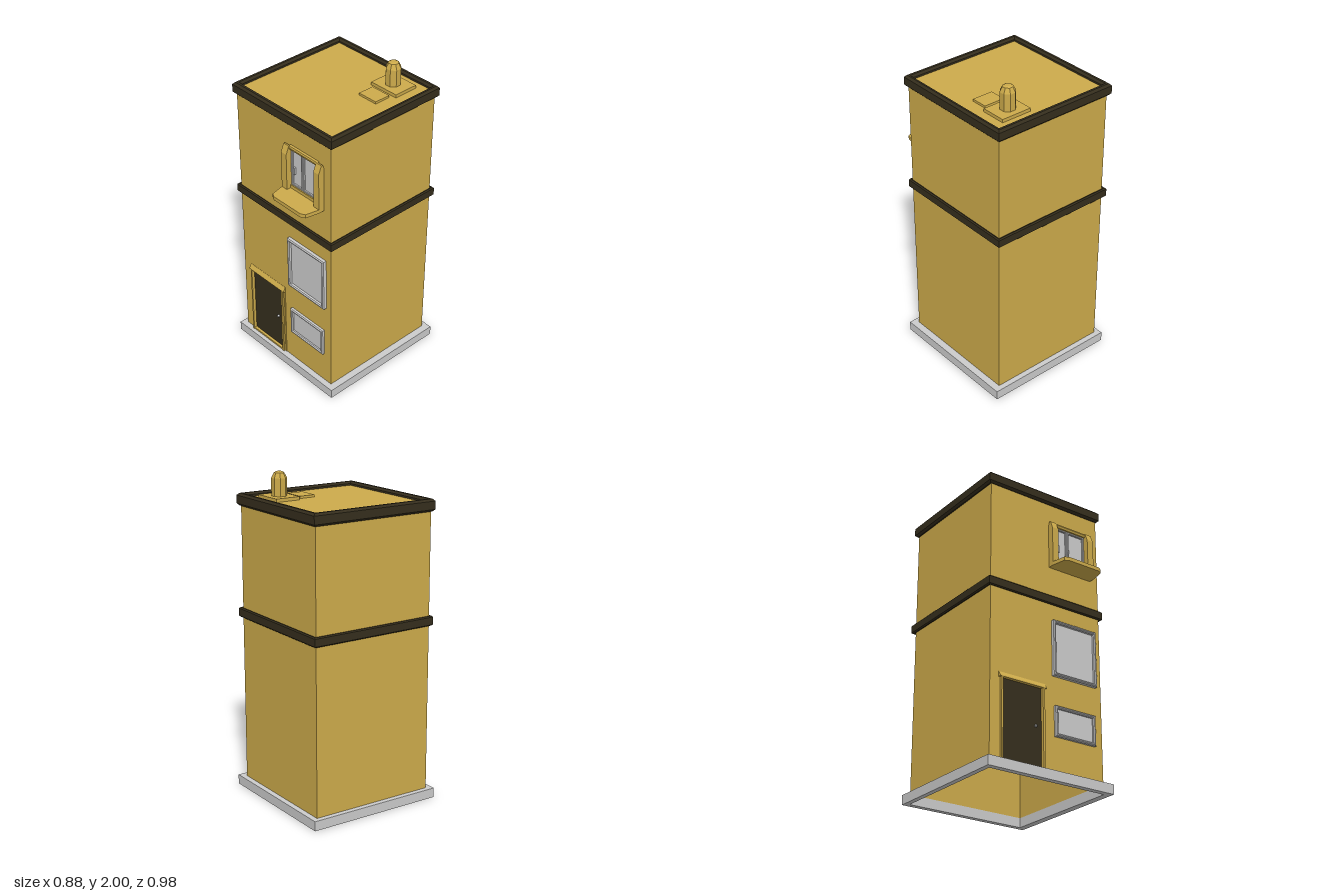
import * as THREE from 'three';

const tan = new THREE.MeshStandardMaterial({ color: 0xcdab4b, flatShading: true });
const wallTan = new THREE.MeshStandardMaterial({ color: 0xcdab4b, side: THREE.DoubleSide });
const dark = new THREE.MeshStandardMaterial({ color: 0x352e1d, flatShading: true });
const grey = new THREE.MeshStandardMaterial({ color: 0xcccccc, flatShading: true });

// Outer faces of the walls
const X0 = -0.405, X1 = 0.392, Z0 = -0.455, Z1 = 0.35, Y0 = 0.06, Y1 = 1.8;

function rect(path, x0, x1, y0, y1) {
  path.moveTo(x0, y0);
  path.lineTo(x1, y0);
  path.lineTo(x1, y1);
  path.lineTo(x0, y1);
  path.closePath();
  return path;
}

const polygon = (pts) => new THREE.Shape(pts.map(([x, y]) => new THREE.Vector2(x, y)));

function extrude(shape, depth, bevel = 0) {
  const geo = new THREE.ExtrudeGeometry(shape, {
    depth: depth - 2 * bevel, bevelEnabled: bevel > 0, bevelSegments: 1,
    bevelSize: bevel, bevelThickness: bevel, bevelOffset: -bevel,
  });
  return geo.translate(0, 0, bevel);
}

function add(parent, name, geo, mat) {
  const mesh = new THREE.Mesh(geo, mat);
  mesh.name = name;
  parent.add(mesh);
  return mesh;
}

function box(parent, name, mat, x0, x1, y0, y1, z0, z1) {
  const geo = new THREE.BoxGeometry(x1 - x0, y1 - y0, z1 - z0);
  geo.translate((x0 + x1) / 2, (y0 + y1) / 2, (z0 + z1) / 2);
  return add(parent, name, geo, mat);
}

// Horizontal plate from an (x, z) outline
const plate = (shape, y0, y1, bevel) =>
  extrude(shape, y1 - y0, bevel).rotateX(Math.PI / 2).translate(0, y1, 0);

// Sideways bar from a (z, y) profile
const bar = (pts, x0, x1) =>
  extrude(polygon(pts), x1 - x0).rotateY(-Math.PI / 2).translate(x1, 0, 0);

// Rectangular ring running round the house
function ring(parent, name, mat, out, inn, y0, y1, bevel) {
  const shape = rect(new THREE.Shape(), ...out);
  shape.holes.push(rect(new THREE.Path(), ...inn));
  add(parent, name, plate(shape, y0, y1, bevel), mat);
}

// Picture-frame border on the front wall
function frame(parent, name, mat, [x0, x1, y0, y1], w, z0, z1, bevel) {
  const shape = rect(new THREE.Shape(), x0, x1, y0, y1);
  shape.holes.push(rect(new THREE.Path(), x0 + w, x1 - w, y0 + w, y1 - w));
  add(parent, name, extrude(shape, z1 - z0, bevel).translate(0, 0, z0), mat);
}

function knob(parent, name, x, y, z) {
  add(parent, name, new THREE.SphereGeometry(0.009, 10, 6).translate(x, y, z), grey);
}

export function createModel() {
  const house = new THREE.Group();
  house.name = 'house';

  // Foundation ring and trim bands
  const body = [X0, X1, Z0, Z1];
  ring(house, 'foundation', grey, [-0.4375, 0.4375, -0.49, 0.388], body, 0, Y0, 0);
  ring(house, 'middleBand', dark, [-0.425, 0.41, -0.475, 0.366], body, 1.1, 1.16, 0.007);
  ring(house, 'parapet', dark, [-0.425, 0.41, -0.475, 0.366],
    [-0.385, 0.373, -0.435, 0.325], 1.785, 1.86, 0.013);

  // Thin walls, open at the bottom, with openings in the front
  const walls = new THREE.Group();
  walls.name = 'walls';
  house.add(walls);
  const front = rect(new THREE.Shape(), X0, X1, Y0, Y1);
  const openings = [
    [-0.33, -0.04, 0.065, 0.555], [0.045, 0.34, 0.655, 0.99],
    [0.053, 0.323, 0.285, 0.45], [0.062, 0.293, 1.392, 1.64],
  ];
  for (const o of openings) front.holes.push(rect(new THREE.Path(), ...o));
  add(walls, 'frontWall', new THREE.ShapeGeometry(front).translate(0, 0, Z1), wallTan);
  const backGeo = new THREE.PlaneGeometry(X1 - X0, Y1 - Y0).rotateY(Math.PI);
  add(walls, 'backWall', backGeo.translate((X0 + X1) / 2, (Y0 + Y1) / 2, Z0), wallTan);
  for (const [x, turn, name] of [[X0, -1, 'rightWall'], [X1, 1, 'leftWall']]) {
    const geo = new THREE.PlaneGeometry(Z1 - Z0, Y1 - Y0).rotateY(turn * Math.PI / 2);
    add(walls, name, geo.translate(x, (Y0 + Y1) / 2, (Z0 + Z1) / 2), wallTan);
  }

  // Roof, roof pads and chimney
  box(house, 'roof', tan, X0 + 0.003, X1 - 0.003, 1.782, 1.836, Z0 + 0.003, Z1 - 0.003);
  box(house, 'chimneyPad', tan, 0.107, 0.307, 1.83, 1.856, -0.385, -0.225);
  box(house, 'roofHatch', tan, 0.143, 0.277, 1.83, 1.85, -0.2, -0.095);
  const profile = [[0.047, 1.85], [0.047, 1.962], [0.031, 1.993], [0.018, 2], [0, 2]]
    .map(([r, y]) => new THREE.Vector2(r, y));
  const chimney = new THREE.LatheGeometry(profile, 8, Math.PI / 8);
  add(house, 'chimney', chimney.translate(0.203, 0, -0.305), tan);

  // Door with a sloped lintel
  const door = new THREE.Group();
  door.name = 'door';
  house.add(door);
  box(door, 'doorLeaf', dark, -0.33, -0.04, 0.065, 0.555, 0.335, 0.345);
  box(door, 'doorJamb', tan, -0.334, -0.323, Y0, 0.555, 0.335, 0.365);
  box(door, 'doorJamb', tan, -0.046, -0.032, Y0, 0.555, 0.335, 0.365);
  box(door, 'doorSideTrim', tan, -0.032, -0.02, Y0, 0.57, 0.345, 0.355);
  box(door, 'threshold', tan, -0.33, -0.04, Y0, 0.071, 0.335, 0.362);
  add(door, 'doorLintel',
    bar([[0.335, 0.548], [0.366, 0.548], [0.366, 0.555], [0.351, 0.58], [0.335, 0.58]], -0.345, -0.02), tan);
  knob(door, 'doorKnob', -0.09, 0.31, 0.353);
  knob(door, 'innerDoorKnob', -0.09, 0.31, 0.327);

  // Plain windows on the lower floor
  for (const [name, r, zf] of [
    ['largeWindow', [0.033, 0.351, 0.645, 1.0], 0.376],
    ['smallWindow', [0.043, 0.335, 0.275, 0.462], 0.371],
  ]) {
    const win = new THREE.Group();
    win.name = name;
    house.add(win);
    frame(win, 'windowFrame', grey, r, 0.018, 0.342, zf, 0.006);
    box(win, 'glass', grey, r[0] + 0.01, r[1] - 0.01, r[2] + 0.01, r[3] - 0.01, 0.345, 0.356);
  }

  // Upper window: casements inside a deep surround with a sill
  const upper = new THREE.Group();
  upper.name = 'upperWindow';
  house.add(upper);
  box(upper, 'glass', grey, 0.062, 0.293, 1.392, 1.64, 0.338, 0.345);
  for (const r of [[0.063, 0.161, 1.393, 1.639], [0.161, 0.292, 1.393, 1.639]])
    frame(upper, 'casement', grey, r, 0.012, 0.338, 0.356, 0.003);
  box(upper, 'windowHandle', grey, 0.084, 0.096, 1.475, 1.52, 0.345, 0.358);

  const jamb = [[0.345, 1.37], [0.39, 1.37], [0.39, 1.61], [0.37, 1.66], [0.36, 1.66], [0.345, 1.62]];
  for (const x of [0.021, 0.291])
    add(upper, 'windowJamb', bar(jamb, x, x + 0.044), tan);
  add(upper, 'windowLintel',
    bar([[0.345, 1.637], [0.366, 1.637], [0.37, 1.65], [0.366, 1.66], [0.345, 1.66]], 0.06, 0.296), tan);
  box(upper, 'lowerRail', tan, 0.062, 0.294, 1.37, 1.395, 0.345, 0.362);
  const sill = polygon([[0.021, 0.345], [0.335, 0.345], [0.335, 0.39], [0.318, 0.476],
    [0.29, 0.49], [0.066, 0.49], [0.04, 0.476], [0.021, 0.39]]);
  add(upper, 'windowSill', plate(sill, 1.35, 1.374, 0), tan);

  return house;
}
